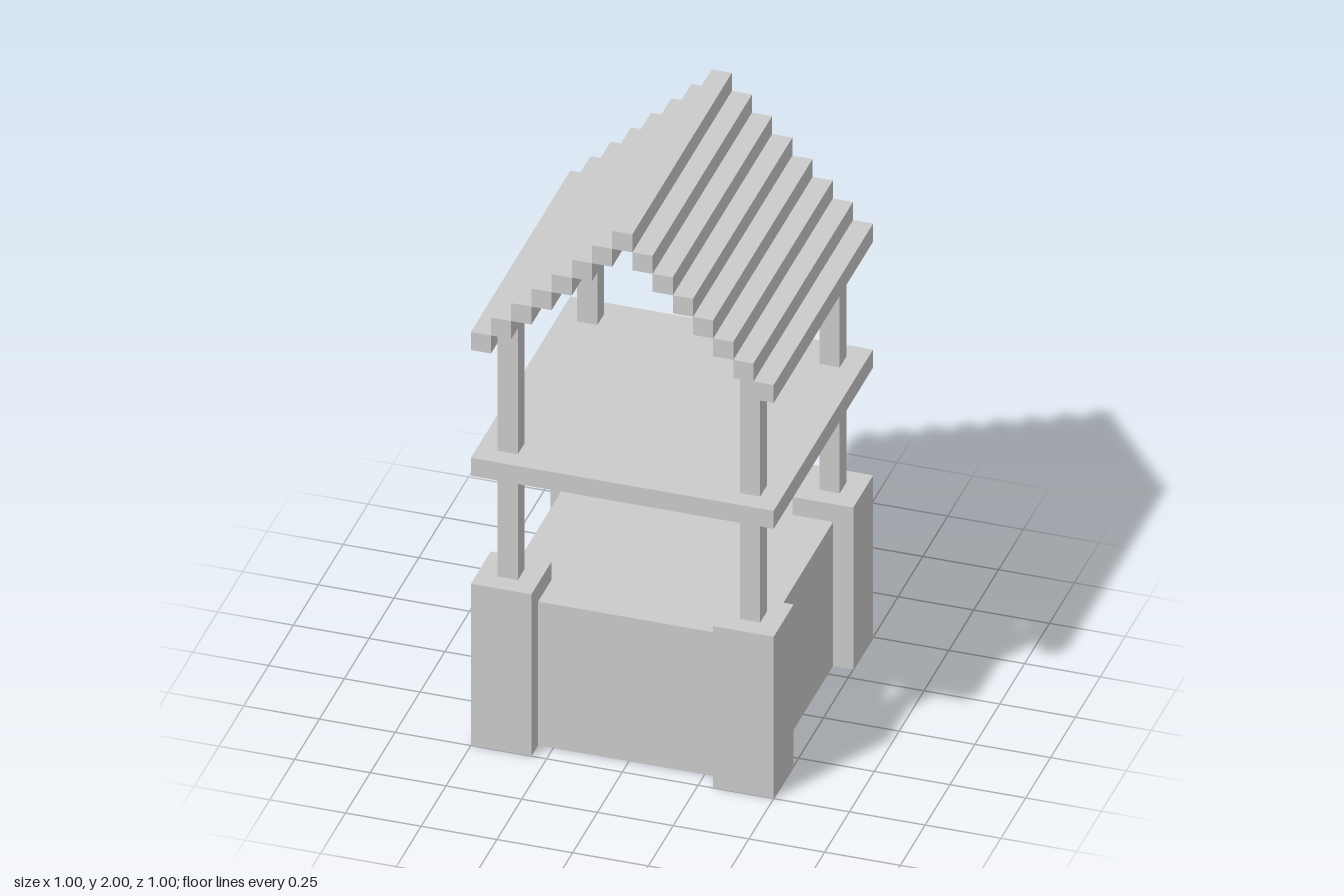
import * as THREE from 'three';

const U = 1 / 15; // one building unit
const material = new THREE.MeshStandardMaterial({ color: 0xcccccc, flatShading: true });

export function createModel() {
  const model = new THREE.Group();
  model.name = 'roofedWell';

  // Box of w x h x d units, standing on height y and centred on (x, z)
  const addBox = (name, w, h, d, x, y, z) => {
    const mesh = new THREE.Mesh(new THREE.BoxGeometry(w * U, h * U, d * U), material);
    mesh.name = name;
    mesh.position.set(x * U, (y + h / 2) * U, z * U);
    model.add(mesh);
  };

  // Solid base, set back behind the corner piers
  addBox('base', 13, 8, 13, 0, 0, 0);

  // Corner piers, each with a post in two lengths around the platform
  for (const sx of [-1, 1]) {
    for (const sz of [-1, 1]) {
      addBox('cornerPier', 3, 9, 3, sx * 6, 0, sz * 6);
      addBox('lowerPost', 1, 6, 1, sx * 6, 9, sz * 6);
      addBox('upperPost', 1, 7, 1, sx * 6, 16, sz * 6);
    }
  }

  // Platform
  addBox('platform', 15, 1, 15, 0, 15, 0);

  // Stepped gable roof: a ridge beam and mirrored slats going down to the eaves
  addBox('ridgeBeam', 1, 1, 15, 0, 29, 0);
  for (let i = 1; i <= 7; i++) {
    for (const side of [-1, 1]) addBox('roofSlat', 1, 1, 15, side * i, 29 - i, 0);
  }

  return model;
}
